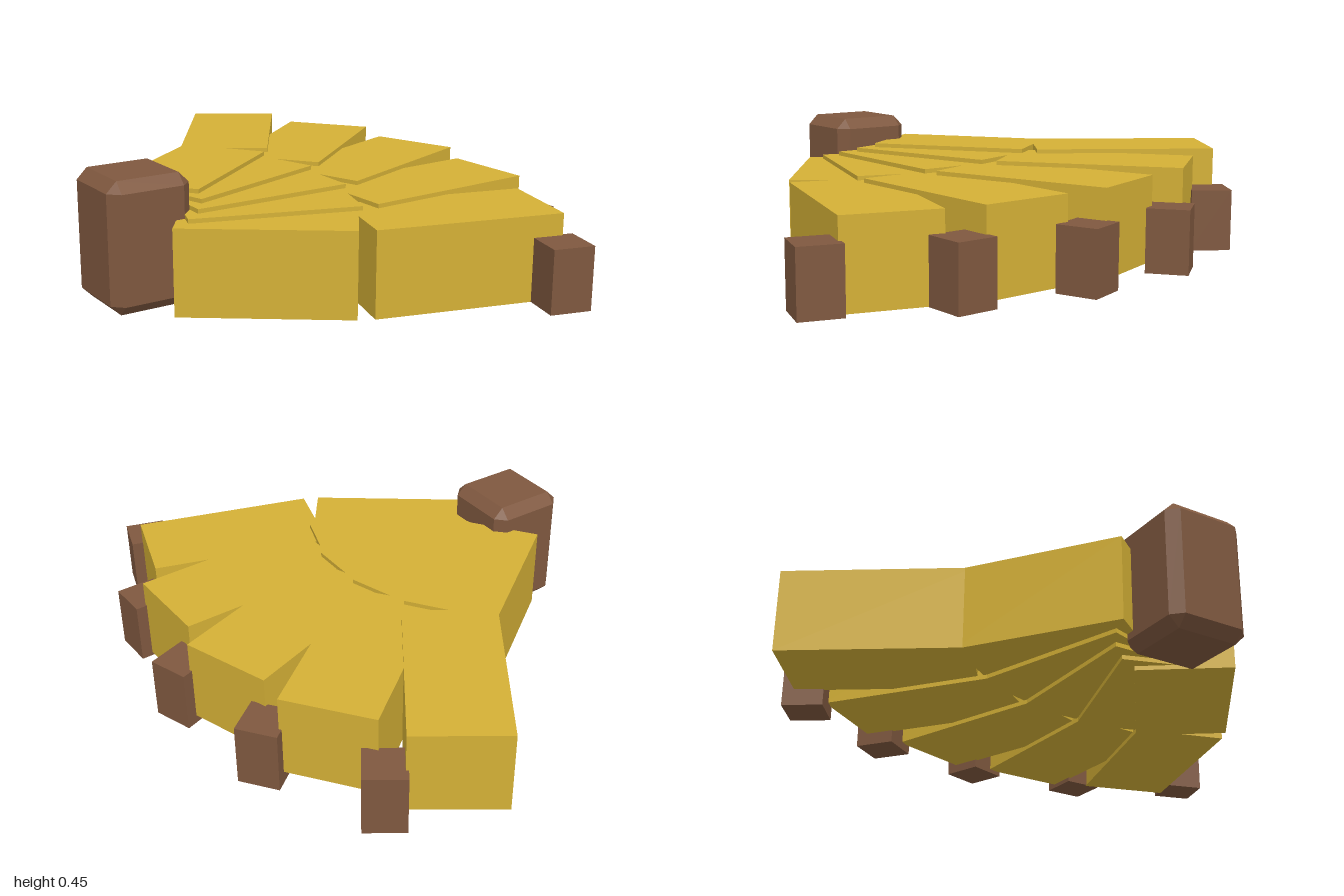
import * as THREE from 'three';
import { ConvexGeometry } from 'three/addons/geometries/ConvexGeometry.js';

const deg = Math.PI / 180;

// Box with a single flat bevel on every edge, standing on y = 0
function bevelledBox(w, h, d, c) {
  const points = [];
  for (const x of [-1, 1]) for (const y of [-1, 1]) for (const z of [-1, 1]) {
    for (let axis = 0; axis < 3; axis++) {
      const half = [w / 2, h / 2, d / 2].map((s, i) => (i === axis ? s : s - c));
      points.push(new THREE.Vector3(x * half[0], y * half[1] + h / 2, z * half[2]));
    }
  }
  return new ConvexGeometry(points);
}

export function createModel() {
  const gold = new THREE.MeshStandardMaterial({ color: 0xd4b036 });
  gold.name = 'gold';
  const brown = new THREE.MeshStandardMaterial({ color: 0x7f583f });
  brown.name = 'brown';

  const model = new THREE.Group();
  model.name = 'fan';

  const add = (parent, name, geometry, material, x, y, z) => {
    const mesh = new THREE.Mesh(geometry, material);
    mesh.name = name;
    mesh.position.set(x, y, z);
    parent.add(mesh);
    return mesh;
  };

  const pivotX = -0.679, pivotZ = 0.074;
  const innerStart = 0.15, innerLength = 0.587, outerLength = 0.657;
  const width = 0.33, height = 0.298, rise = 0.015;

  // Hub block at the root of the fan
  add(model, 'hub', bevelledBox(0.294, 0.447, 0.296, 0.037), brown, pivotX, 0, pivotZ);

  const innerGeometry = new THREE.BoxGeometry(innerLength, height, width);
  const outerGeometry = new THREE.BoxGeometry(outerLength, height, width);
  const tipGeometry = new THREE.BoxGeometry(0.146, 0.222, 0.146);

  // Five blades, each bent once and a little higher than the one before
  for (let i = 0; i < 5; i++) {
    const blade = new THREE.Group();
    blade.name = `blade${i + 1}`;
    blade.position.set(pivotX, 0, pivotZ);
    blade.rotation.y = -(36 - 18 * i) * deg;
    model.add(blade);

    const y = height / 2 + rise * i;
    add(blade, 'innerPanel', innerGeometry, gold, innerStart + innerLength / 2, y, 0);

    // Outer half turns 20 degrees at the end of the inner half
    const outer = new THREE.Group();
    outer.name = 'outerHalf';
    outer.position.x = innerStart + innerLength;
    outer.rotation.y = 20 * deg;
    blade.add(outer);
    add(outer, 'outerPanel', outerGeometry, gold, outerLength / 2, y, 0);

    // Tip block beside the outer corner, on the ground
    add(outer, 'tipBlock', tipGeometry, brown, outerLength - 0.032, 0.111, 0.228);
  }

  return model;
}
